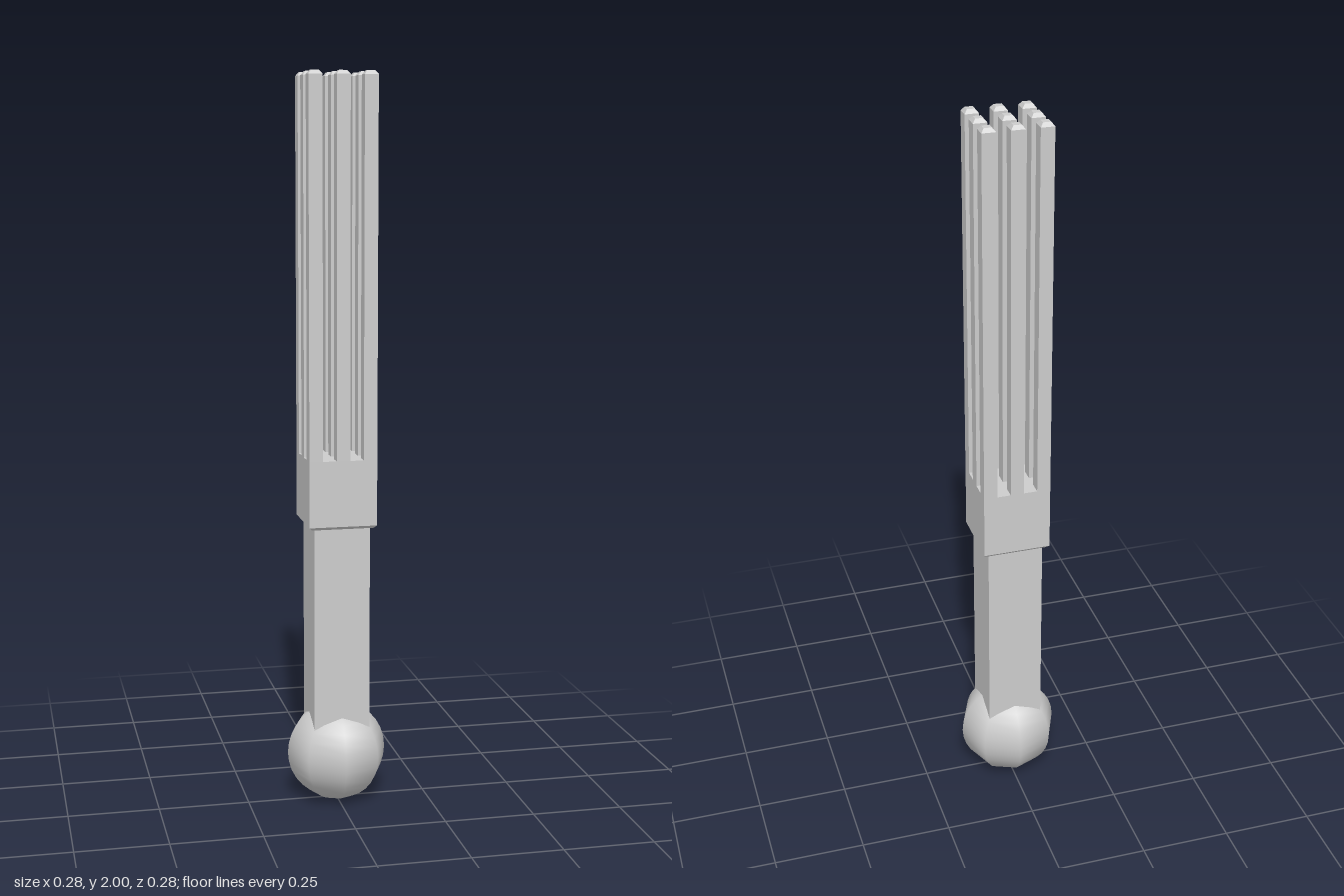
import * as THREE from 'three';

const flat = new THREE.MeshStandardMaterial({ color: 0xcccccc, flatShading: true });
const smooth = new THREE.MeshStandardMaterial({ color: 0xcccccc });

// Square bar lofted upward through [halfWidth, y] sections
function squareBar(name, sections) {
  const points = sections.map(([half, y]) => new THREE.Vector2(half * Math.SQRT2, y));
  const mesh = new THREE.Mesh(new THREE.LatheGeometry(points, 4, Math.PI / 4), flat);
  mesh.name = name;
  return mesh;
}

export function createModel() {
  const model = new THREE.Group();
  model.name = 'whisk';

  // Eight-sided ball at the end of the handle
  const pommel = new THREE.Mesh(new THREE.SphereGeometry(0.138, 8, 16), smooth);
  pommel.name = 'pommel';
  pommel.position.y = 0.138;
  model.add(pommel);

  // Square handle
  model.add(squareBar('handle', [[0, 0.15], [0.077, 0.15], [0.077, 0.79], [0, 0.79]]));

  // Wider head with a chamfered lower edge
  model.add(squareBar('head', [[0, 0.787], [0.085, 0.787], [0.093, 0.795], [0.093, 0.975], [0, 0.975]]));

  // Three by three bundle of tines with chamfered tips
  const tines = new THREE.Group();
  tines.name = 'tines';
  for (const x of [-0.0745, 0, 0.0745]) {
    for (const z of [-0.0745, 0, 0.0745]) {
      const tine = squareBar('tine', [[0.0185, 0.97], [0.0185, 1.99], [0.0105, 2], [0, 2]]);
      tine.position.set(x, 0, z);
      tines.add(tine);
    }
  }
  model.add(tines);

  return model;
}
